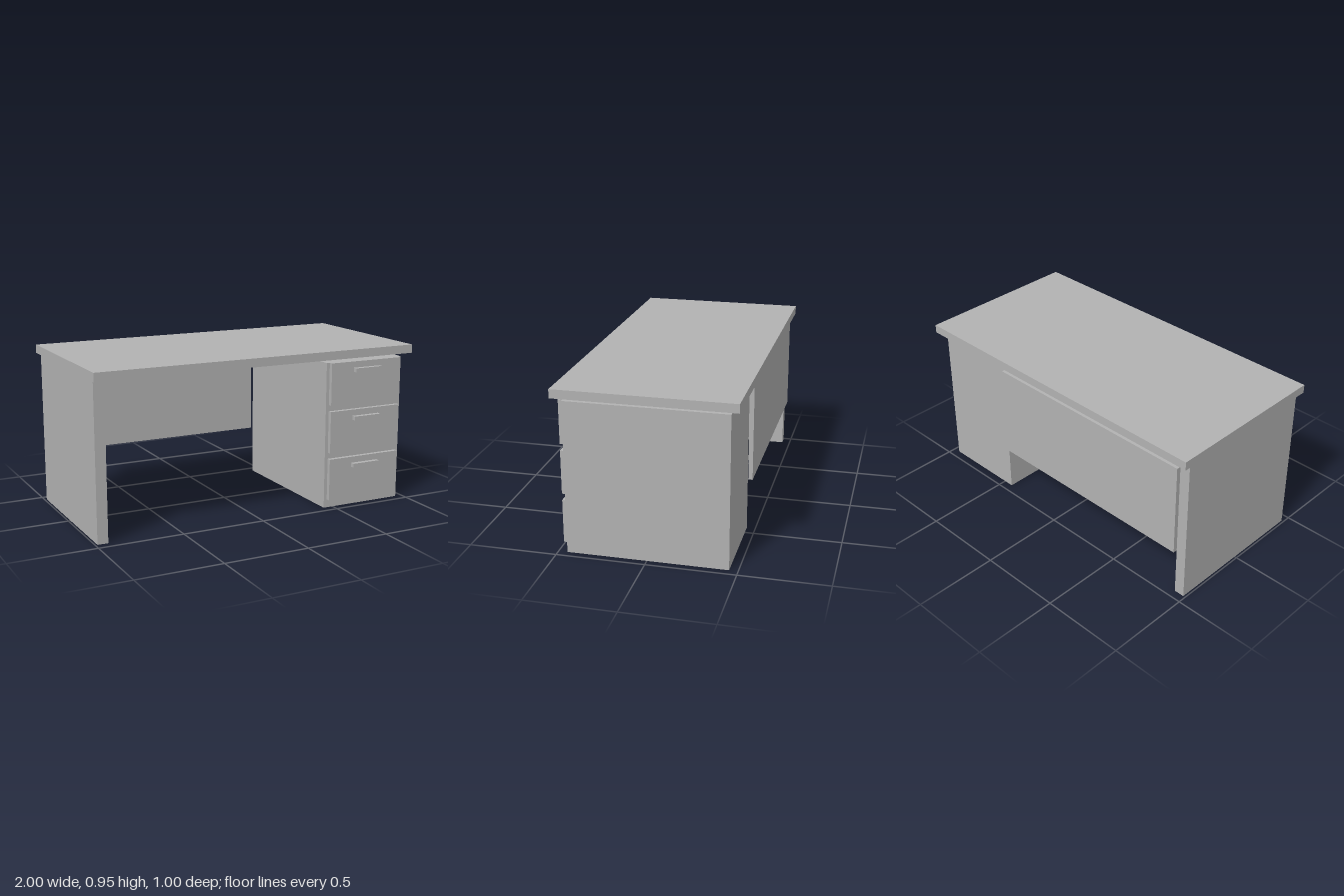
import * as THREE from 'three';

export function createModel() {
  const desk = new THREE.Group();
  desk.name = 'desk';
  const grey = new THREE.MeshStandardMaterial({ color: 0xb2b2b2 });
  grey.name = 'grey';

  // Box given by its extents along each axis
  const box = (name, [x0, x1], [y0, y1], [z0, z1], parent = desk) => {
    const mesh = new THREE.Mesh(new THREE.BoxGeometry(x1 - x0, y1 - y0, z1 - z0), grey);
    mesh.name = name;
    mesh.position.set((x0 + x1) / 2, (y0 + y1) / 2, (z0 + z1) / 2);
    parent.add(mesh);
    return mesh;
  };

  // Top, side leg and rear modesty panel
  box('desktop', [-1, 1], [0.9, 0.95], [-0.501, 0.499]);
  box('sideLeg', [-0.987, -0.925], [0, 0.9], [-0.451, 0.449]);
  box('modestyPanel', [-0.925, 0.425], [0.296, 0.858], [-0.476, -0.451]);

  // Drawer cabinet, a little short of the desktop
  box('cabinet', [0.438, 0.957], [0, 0.875], [-0.451, 0.449]);

  // Three drawer fronts with bar handles
  [0.05, 0.3375, 0.625].forEach((y, i) => {
    const drawer = new THREE.Group();
    drawer.name = `drawer${i + 1}`;
    desk.add(drawer);
    box('drawerFront', [0.458, 0.937], [y, y + 0.25], [0.449, 0.474], drawer);
    box('drawerHandle', [0.608, 0.787], [y + 0.189, y + 0.213], [0.474, 0.501], drawer);
  });

  return desk;
}
